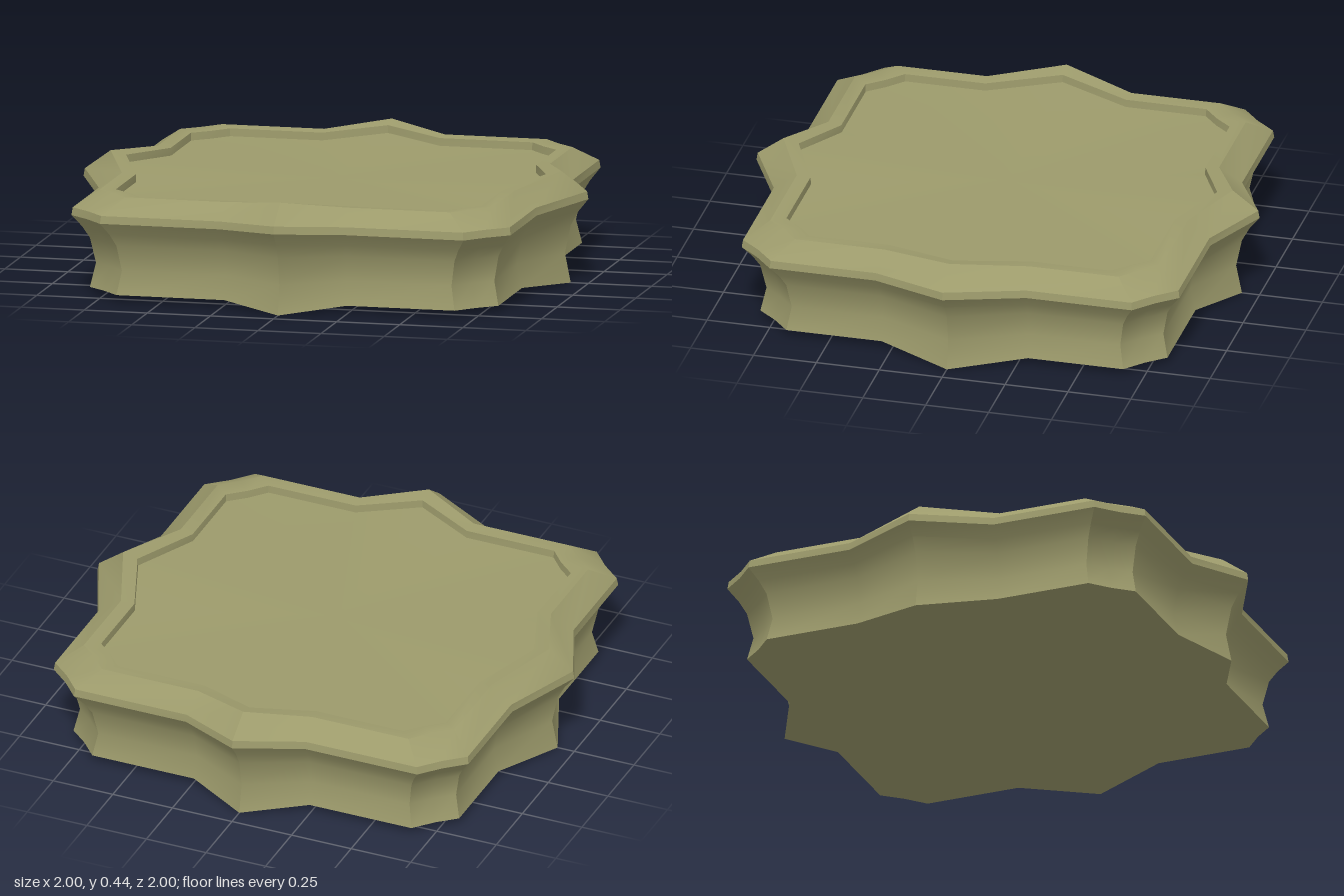
import * as THREE from 'three';
import { toCreasedNormals } from 'three/addons/utils/BufferGeometryUtils.js';

// One quarter of the plan, from the side point to the end point: [x, z, pointedness, corner]
const QUARTER = [
  [1, 0, 1], [0.87, 0.3, 0], [0.87, 0.72, 0], [0.79, 0.79, 0],
  [0.72, 0.87, 0], [0.25, 0.87, 0], [0, 1, 1],
];

// Profile from the underside centre to the panel centre: [scale, height on flats, height at points]
const PROFILE = [
  [0, 0.06, 0.06],
  [0.93, 0.027, 0],
  [0.907, 0.12, 0.115],
  [0.93, 0.22, 0.225],
  [0.96, 0.268, 0.28],
  [1, 0.315, 0.33],
  [0.995, 0.345, 0.36],
  [0.893, 0.405, 0.435],
  [0.832, 0.4, 0.42],
  [0.83, 0.37, 0.39],
  [0, 0.368, 0.368],
];

// Mirror the quarter into a full closed outline
function fullOutline() {
  const mirror = (pts, sx, sz) => pts.map(([x, z, t]) => [x * sx, z * sz, t]);
  const back = [...QUARTER].reverse();
  return [
    ...mirror(QUARTER, 1, -1).slice(0, -1),
    ...mirror(back, -1, -1).slice(0, -1),
    ...mirror(QUARTER, -1, 1).slice(0, -1),
    ...mirror(back, 1, 1).slice(0, -1),
  ];
}

// Skin the scaled outlines ring by ring
function loft(outline, profile) {
  const rings = profile.map(([s, flat, tip]) => outline.map(([x, z, t]) => {
    // The shoulders of each point narrow less than the rest of the plan
    const keep = (v) => (Math.abs(v) < 0.35 && s > 0 ? v * (1 - (1 - s) * 0.4) : v * s);
    return [keep(x), flat + (tip - flat) * t, keep(z)];
  }));
  const positions = [];
  const n = outline.length;
  for (let r = 0; r < rings.length - 1; r++) {
    for (let i = 0; i < n; i++) {
      const j = (i + 1) % n;
      const a = rings[r][i], b = rings[r][j], c = rings[r + 1][j], d = rings[r + 1][i];
      if (profile[r][0] > 0) positions.push(...a, ...b, ...(profile[r + 1][0] > 0 ? c : d));
      if (profile[r + 1][0] > 0) positions.push(...a, ...c, ...d);
    }
  }
  const geometry = new THREE.BufferGeometry();
  geometry.setAttribute('position', new THREE.Float32BufferAttribute(positions, 3));
  return toCreasedNormals(geometry, THREE.MathUtils.degToRad(36));
}

export function createModel() {
  const group = new THREE.Group();
  group.name = 'plinth';
  const material = new THREE.MeshStandardMaterial({ color: 0x9c9a6b });
  const outline = fullOutline();

  const parts = [
    ['underside', 0, 1],
    ['mouldedBody', 1, 9],
    ['recessedPanel', 9, 10],
  ];
  for (const [name, from, to] of parts) {
    const mesh = new THREE.Mesh(loft(outline, PROFILE.slice(from, to + 1)), material);
    mesh.name = name;
    group.add(mesh);
  }
  return group;
}
